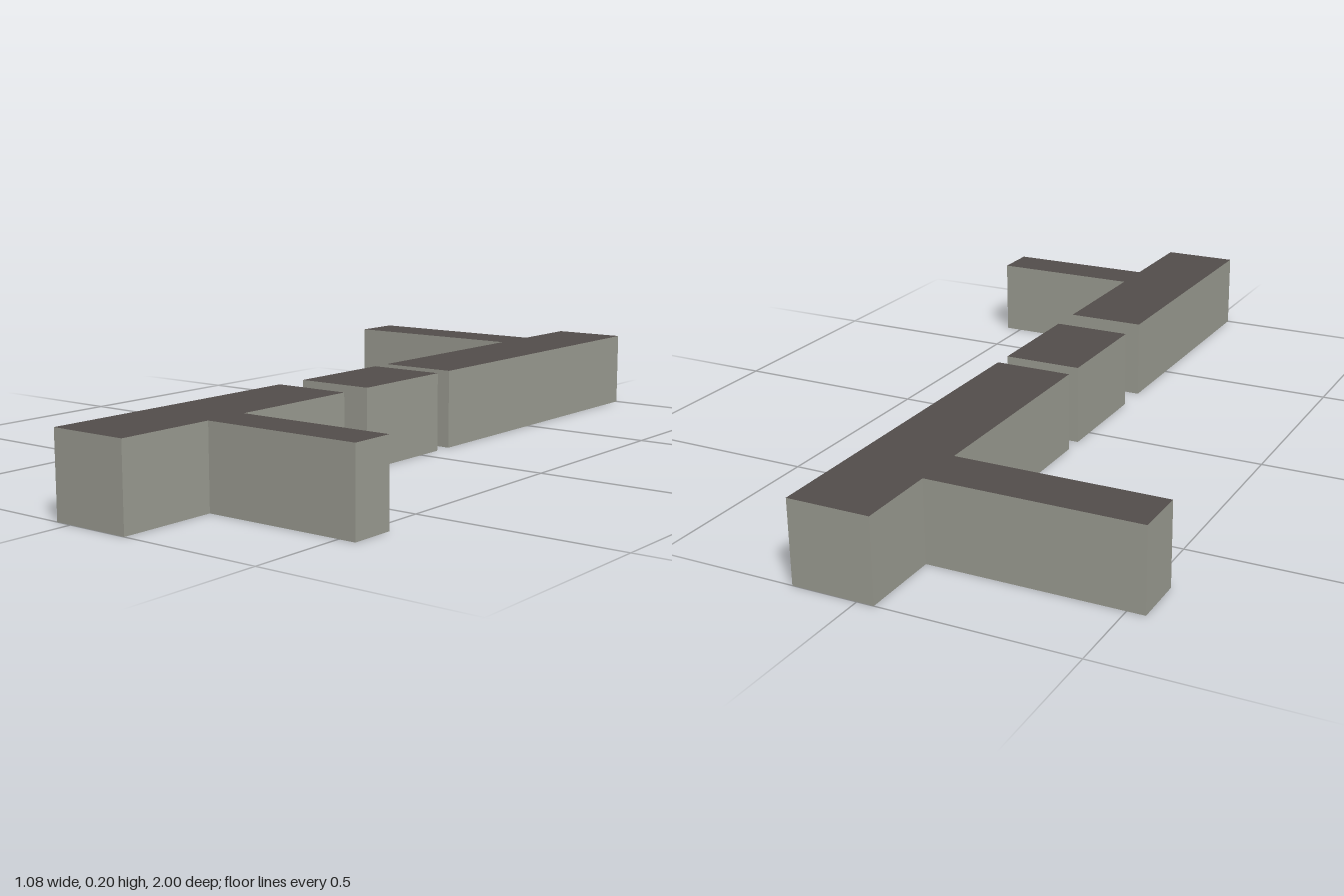
import * as THREE from 'three';

const HEIGHT = 0.197;
const X0 = -0.04, X1 = 0.156, REACH = 0.542; // spine sides and arm tips

export function createModel() {
  const wall = new THREE.MeshStandardMaterial({ color: 0x98998f });
  wall.name = 'wallGrey';
  const roof = new THREE.MeshStandardMaterial({ color: 0x524c4a });
  roof.name = 'roofDarkGrey';

  const model = new THREE.Group();
  model.name = 'buildingRow';

  // Extrudes a floor plan of [x, z] points; only the upper cap takes the roof colour
  function addBlock(name, plan) {
    const shape = new THREE.Shape(plan.map(([x, z]) => new THREE.Vector2(x, -z)));
    const geometry = new THREE.ExtrudeGeometry(shape, { depth: HEIGHT, bevelEnabled: false });
    geometry.rotateX(-Math.PI / 2);
    const [caps, sides] = geometry.groups.map((g) => ({ ...g }));
    geometry.clearGroups();
    geometry.addGroup(0, caps.count / 2, 0); // underside
    geometry.addGroup(caps.count / 2, caps.count / 2, 1); // roof
    geometry.addGroup(sides.start, sides.count, 0); // walls
    const mesh = new THREE.Mesh(geometry, [wall, roof]);
    mesh.name = name;
    model.add(mesh);
  }

  // Front block with an arm to its left
  addBlock('frontBlock', [
    [X0, 1], [X1, 1], [X1, 0.757], [REACH, 0.757],
    [REACH, 0.648], [X1, 0.648], [X1, 0.306], [X0, 0.306],
  ]);

  // Free-standing middle block
  addBlock('middleBlock', [[X0, 0.22], [X1, 0.22], [X1, -0.068], [X0, -0.068]]);

  // Long back block with an arm to its right
  addBlock('backBlock', [
    [X0, -0.117], [X1, -0.117], [X1, -1], [X0, -1],
    [X0, -0.8], [-REACH, -0.8], [-REACH, -0.672], [X0, -0.672],
  ]);

  return model;
}
